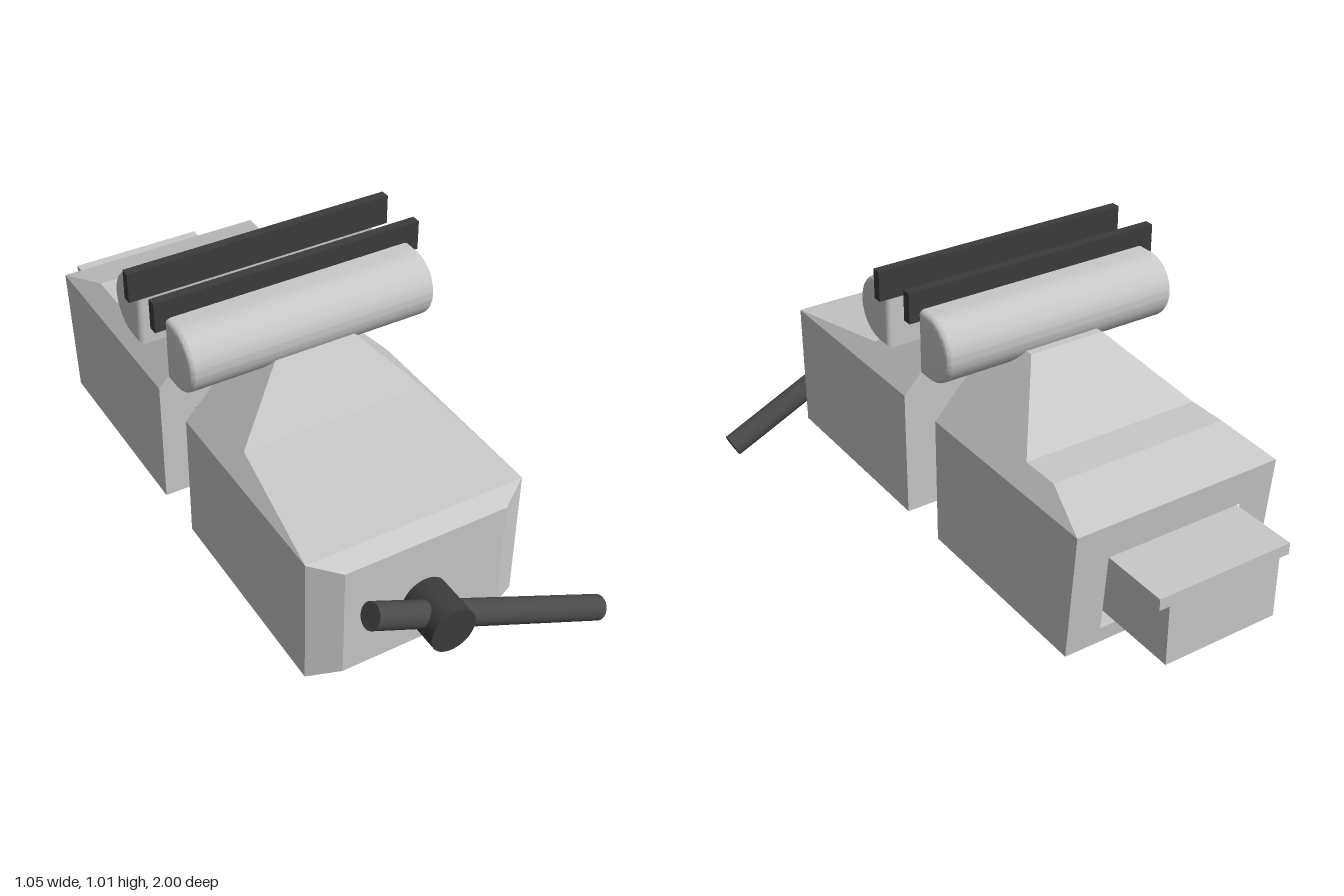
import * as THREE from 'three';
import { toCreasedNormals } from 'three/addons/utils/BufferGeometryUtils.js';

const iron = new THREE.MeshStandardMaterial({ color: 0xc8c8c8 });
iron.name = 'castIron';
const tunnelIron = new THREE.MeshStandardMaterial({ color: 0xc8c8c8, side: THREE.BackSide });
tunnelIron.name = 'castIronInside';
const dark = new THREE.MeshStandardMaterial({ color: 0x3c3c3c });
dark.name = 'darkSteel';
const handleSteel = new THREE.MeshStandardMaterial({ color: 0x4a4a4a });
handleSteel.name = 'handleSteel';

const HALF = 0.352, BASE = 0.137, SHOULDER = 0.565;
const SLOT = { half: 0.235, bottom: 0.19, top: 0.45 };
const topHalf = (y) => HALF - (y - SHOULDER) * 0.933;

function add(parent, name, geometry, material, x = 0, y = 0, z = 0) {
  const mesh = new THREE.Mesh(geometry, material);
  mesh.name = name;
  mesh.position.set(x, y, z);
  parent.add(mesh);
  return mesh;
}

// Six-sided cross-section, anticlockwise seen from +z
function section(z, topY, zBase = z) {
  const t = topHalf(topY);
  return [[-HALF, BASE, zBase], [HALF, BASE, zBase], [HALF, SHOULDER, z],
    [t, topY, z], [-t, topY, z], [-HALF, SHOULDER, z]];
}

// Flat-faced skin through sections ordered from +z to -z
function loft(sections, capFront, capBack) {
  const pos = [];
  const tri = (a, b, c) => pos.push(...a, ...b, ...c);
  for (let s = 0; s < sections.length - 1; s++) {
    const f = sections[s], b = sections[s + 1];
    for (let i = 0; i < 6; i++) {
      const j = (i + 1) % 6;
      tri(f[i], b[i], b[j]);
      tri(f[i], b[j], f[j]);
    }
  }
  const first = sections[0], last = sections[sections.length - 1];
  for (let i = 1; i < 5; i++) {
    if (capFront) tri(first[0], first[i], first[i + 1]);
    if (capBack) tri(last[0], last[i + 1], last[i]);
  }
  const g = new THREE.BufferGeometry();
  g.setAttribute('position', new THREE.Float32BufferAttribute(pos, 3));
  g.computeVertexNormals();
  return g;
}

// End wall with a slot cut for the slide bar
function slottedWall(points, zAt, facesBack) {
  const shape = new THREE.Shape(points.map((p) => new THREE.Vector2(p[0], p[1])));
  const { half, bottom, top } = SLOT;
  shape.holes.push(new THREE.Path([[-half, bottom], [-half, top], [half, top], [half, bottom]]
    .map((p) => new THREE.Vector2(...p))));
  const g = new THREE.ShapeGeometry(shape);
  if (facesBack) g.rotateY(Math.PI);
  const p = g.attributes.position;
  for (let i = 0; i < p.count; i++) p.setZ(i, zAt(p.getY(i)));
  g.computeVertexNormals();
  return g;
}

// D-shaped jaw head with softened ends; dir is the side its round faces
function jawHead(dir) {
  const r = 0.105, straight = 0.055, length = 0.806, bevel = 0.018;
  const s = new THREE.Shape();
  s.moveTo(0, -r);
  s.lineTo(straight, -r);
  s.absarc(straight, 0, r, -Math.PI / 2, Math.PI / 2, false);
  s.lineTo(0, r);
  s.closePath();
  const g = new THREE.ExtrudeGeometry(s, {
    depth: length - 2 * bevel, curveSegments: 24, bevelEnabled: true,
    bevelThickness: bevel, bevelSize: bevel, bevelOffset: -bevel, bevelSegments: 4,
  });
  g.translate(0, 0, -length / 2 + bevel);
  g.rotateY(-dir * Math.PI / 2);
  return toCreasedNormals(g, 0.6);
}

export function createModel() {
  const model = new THREE.Group();
  model.name = 'benchVise';
  const vise = new THREE.Group();
  vise.name = 'viseAssembly';
  vise.position.x = -0.088;
  model.add(vise);

  // Front jaw block with a bevelled nose
  const n = 0.262, lo = 0.163, hi = 0.535;
  const nose = [[-n, lo, 0.855], [n, lo, 0.855], [n, hi, 0.855],
    [n, hi, 0.855], [-n, hi, 0.855], [-n, hi, 0.855]];
  add(vise, 'frontJawBody', loft([nose, section(0.8, SHOULDER), section(0.37, 0.62),
    section(0.25, 0.805), section(0.105, 0.805)], true, true), iron);

  // Rear jaw block, open for the slide bar
  const rear = [section(-0.075, 0.805), section(-0.25, 0.805), section(-0.48, 0.62),
    section(-0.61, 0.62), section(-0.793, SHOULDER, -0.755)];
  add(vise, 'rearJawBody', loft(rear, false, false), iron);
  add(vise, 'rearJawInnerWall', slottedWall(rear[0], () => -0.075, false), iron);
  const tail = (y) => -0.755 - 0.038 * (y - BASE) / (SHOULDER - BASE);
  const tailCorners = [rear[4][0], rear[4][1], rear[4][2], rear[4][5]];
  add(vise, 'rearJawTailWall', slottedWall(tailCorners, tail, true), iron);

  // Lining of the slot
  const lining = new THREE.BoxGeometry(2 * SLOT.half, SLOT.top - SLOT.bottom, 0.685);
  lining.setIndex([...lining.index.array].slice(0, 24));
  add(vise, 'slotLining', lining, tunnelIron, 0, (SLOT.top + SLOT.bottom) / 2, -0.4175);

  // T-shaped slide bar
  add(vise, 'slideBar', new THREE.BoxGeometry(0.39, 0.2, 1.15), iron, 0, 0.307, -0.425);
  add(vise, 'slideBarLip', new THREE.BoxGeometry(0.46, 0.038, 1.15), iron, 0, 0.426, -0.425);

  // Jaw heads and gripping plates
  for (const [side, dir, back] of [['front', 1, 0.105], ['rear', -1, -0.075]]) {
    add(vise, side + 'JawHead', jawHead(dir), iron, 0, 0.85, back);
    add(vise, side + 'JawPlate', new THREE.BoxGeometry(0.87, 0.096, 0.03), dark,
      0, 0.967, back - dir * 0.005);
  }

  // Screw hub and sliding handle
  const hub = new THREE.CylinderGeometry(0.073, 0.073, 0.16, 32);
  hub.rotateX(Math.PI / 2);
  add(vise, 'screwHub', hub, dark, 0, 0.317, 0.92);
  const handle = add(vise, 'handle', new THREE.CylinderGeometry(0.04, 0.04, 0.906, 24),
    handleSteel, 0.184, 0.232, 0.927);
  handle.rotation.z = Math.atan2(0.818, 0.388);
  return model;
}
